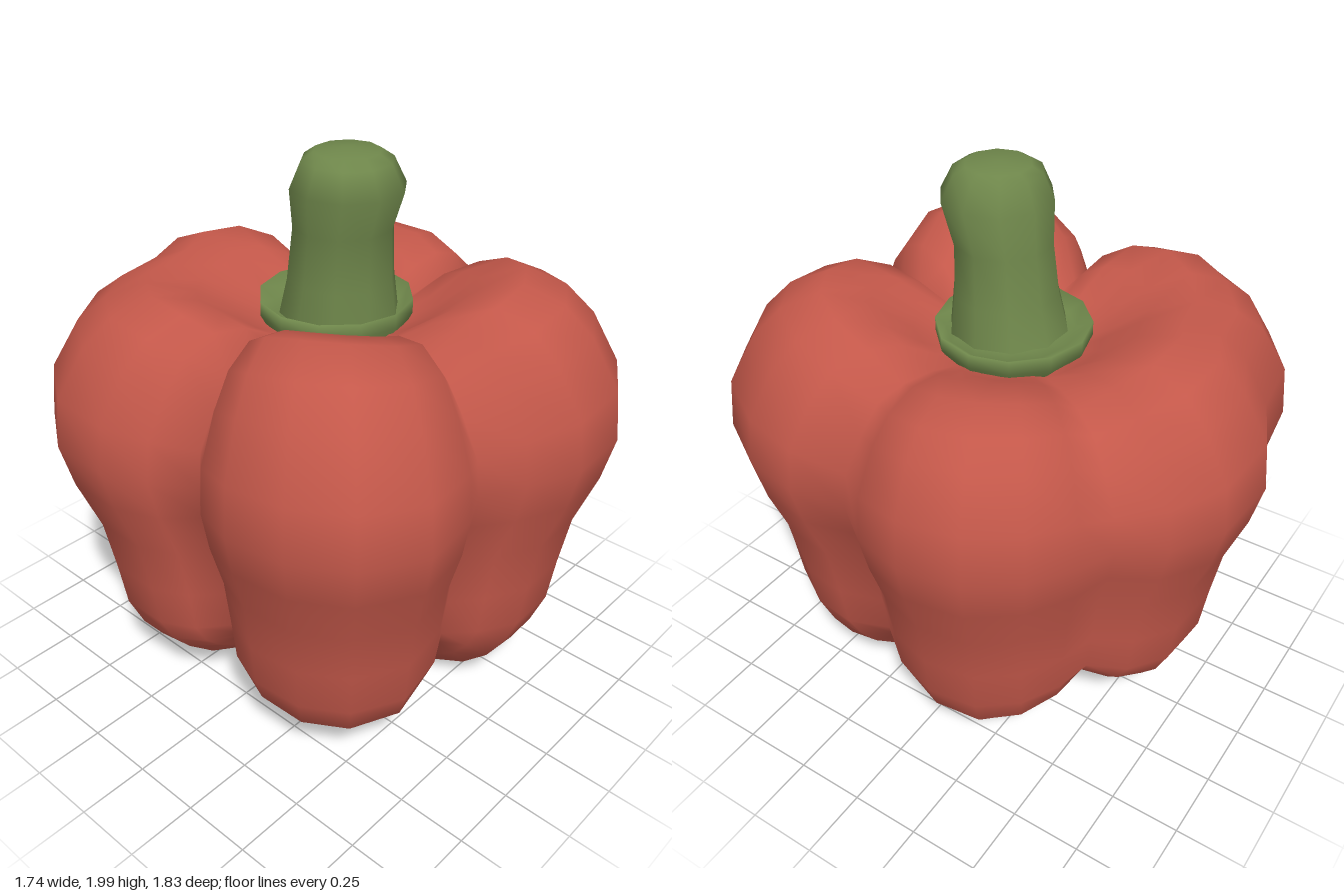
import * as THREE from 'three';
import { mergeVertices } from 'three/addons/utils/BufferGeometryUtils.js';

const red = new THREE.MeshStandardMaterial({ color: 0xc4584a });
red.name = 'pepper red';
const green = new THREE.MeshStandardMaterial({ color: 0x6f874b });
green.name = 'stem green';

// Four lobes of the widest outline [x, z]; each starts at its groove.
// top scales the crest height, dip lowers the middle of the crest, lift raises the underside
const lobes = [
  { top: 0.62, dip: 0, lift: 0.04, outline: [[0.4, -0.64], [0.55, -0.6], [0.71, -0.51], [0.83, -0.36], [0.865, -0.15], [0.81, 0.04]] },
  { top: 0.98, dip: 0, lift: 0, outline: [[0.69, 0.2], [0.75, 0.38], [0.72, 0.58], [0.6, 0.78], [0.4, 0.9], [0.16, 0.91], [-0.01, 0.82]] },
  { top: 1.05, dip: 0, lift: 0.06, outline: [[-0.13, 0.72], [-0.28, 0.8], [-0.52, 0.84], [-0.72, 0.73], [-0.83, 0.55], [-0.85, 0.33], [-0.8, 0.17]] },
  { top: 1.02, dip: 0.33, lift: 0.02, outline: [[-0.68, 0.03], [-0.8, -0.08], [-0.87, -0.23], [-0.87, -0.45], [-0.74, -0.65], [-0.53, -0.8], [-0.3, -0.83], [-0.1, -0.92], [0.16, -0.9], [0.32, -0.79]] },
];

// Rings from top centre to bottom centre: [scale, height in groove, height on crest]
const levels = [
  [0, 1.37, 1.37], [0.2, 1.37, 1.37], [0.34, 1.38, 1.44], [0.48, 1.4, 1.55], [0.64, 1.4, 1.6],
  [0.78, 1.37, 1.54], [0.88, 1.28, 1.44], [0.98, 1.16, 1.26], [1, 1.03, 1.08], [0.96, 0.9, 0.92],
  [0.885, 0.73, 0.73], [0.85, 0.54, 0.54], [0.825, 0.39, 0.37], [0.775, 0.33, 0.25], [0.71, 0.3, 0.14],
  [0.61, 0.27, 0.05], [0.48, 0.25, 0], [0.32, 0.22, 0.06], [0.15, 0.19, 0.15], [0, 0.18, 0.18],
];

// Smooth skin over closed rings listed from top to bottom, clockwise from above
function loft(rings) {
  const n = rings[0].length;
  const index = [];
  for (let i = 0; i < rings.length - 1; i++) {
    for (let j = 0; j < n; j++) {
      const a = i * n + j, b = i * n + (j + 1) % n, c = a + n, d = b + n;
      index.push(a, b, c, b, d, c);
    }
  }
  let geometry = new THREE.BufferGeometry();
  geometry.setAttribute('position', new THREE.Float32BufferAttribute(rings.flat(2), 3));
  geometry.setIndex(index);
  geometry = mergeVertices(geometry);
  geometry.computeVertexNormals();
  return geometry;
}

// Circular ring around an offset centre
function circle([cx, cz, r, y], sides) {
  return Array.from({ length: sides }, (_, j) => {
    const a = (j / sides) * Math.PI * 2;
    return [cx + Math.cos(a) * r, y, cz + Math.sin(a) * r];
  });
}

function addPart(group, name, geometry, material) {
  const mesh = new THREE.Mesh(geometry, material);
  mesh.name = name;
  group.add(mesh);
}

export function createModel() {
  const model = new THREE.Group();
  model.name = 'bellPepper';

  // Body: crests rise above the grooves at the top and hang below them underneath
  const bodyRings = levels.map(([scale, groove, crest]) => lobes.flatMap(({ top, dip, lift, outline }) =>
    outline.map(([x, z], k) => {
      const arch = Math.sin(Math.PI * k / outline.length);
      const weight = arch ** (crest > 1 ? 0.7 : 0.95);
      let peak = crest;
      if (crest > 1.38) peak = 1.38 + (crest - 1.38) * (top - dip * arch ** 6);
      else if (crest < 0.15 && scale > 0.2) peak += lift;
      return [x * scale, groove + (peak - groove) * weight, z * scale];
    })));
  addPart(model, 'body', loft(bodyRings), red);

  // Calyx: shallow dished collar around the foot of the stem
  const calyx = [[0, 0.02, 0.17, 1.44], [0, 0.01, 0.22, 1.43], [0.01, -0.01, 0.265, 1.47], [0.01, -0.01, 0.265, 1.42], [0, 0, 0.22, 1.34]];
  addPart(model, 'calyx', loft(calyx.map((c) => circle(c, 12))), green);

  // Stem: leaning stalk with a swollen cut end
  const stem = [
    [-0.03, 0.07, 0, 2], [-0.03, 0.075, 0.11, 1.99], [-0.035, 0.08, 0.15, 1.965], [-0.037, 0.085, 0.19, 1.88],
    [-0.02, 0.05, 0.168, 1.74], [-0.02, 0.04, 0.182, 1.56], [-0.01, 0.02, 0.21, 1.4],
  ];
  addPart(model, 'stem', loft(stem.map((c) => circle(c, 10))), green);

  return model;
}
